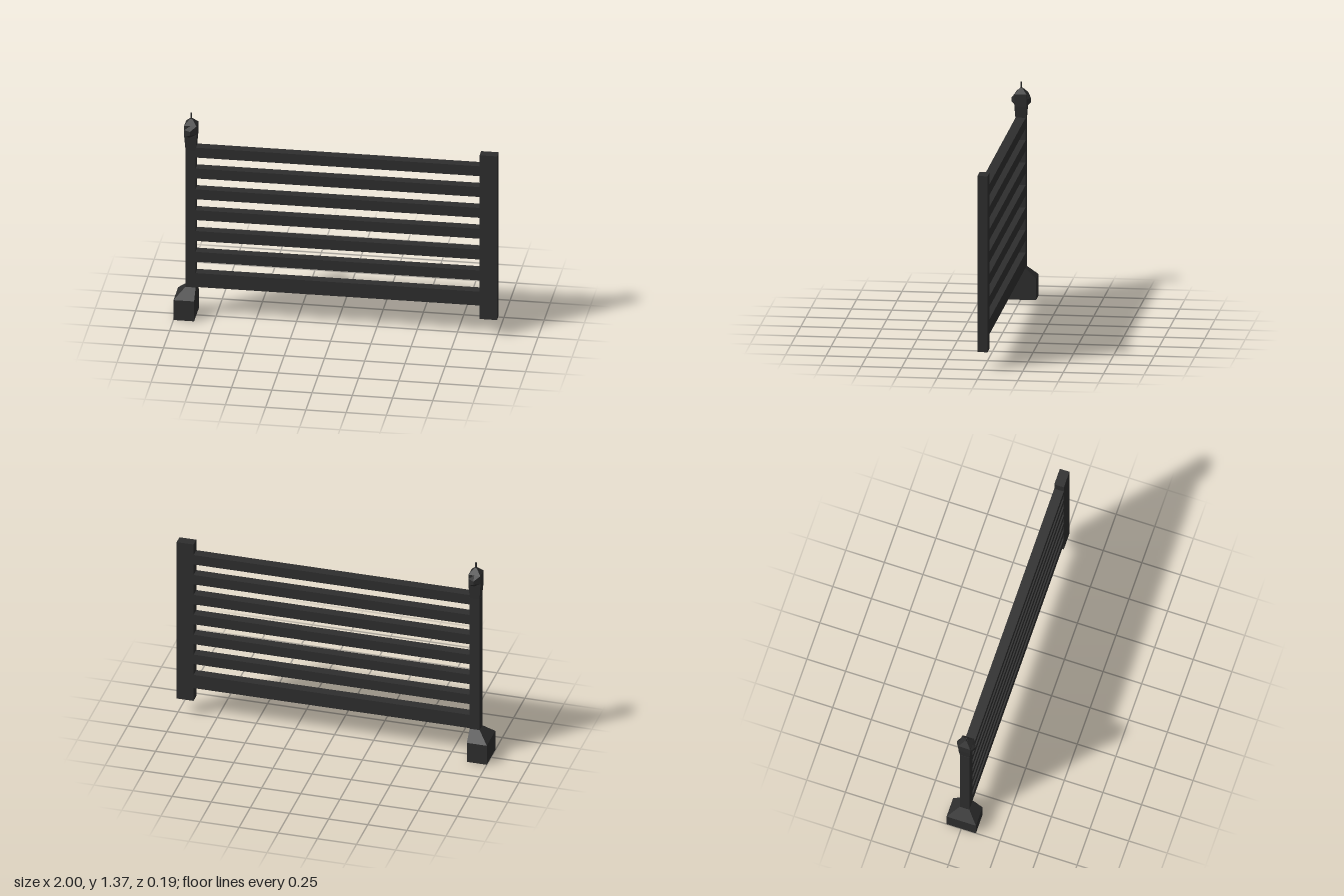
import * as THREE from 'three';

const iron = new THREE.MeshStandardMaterial({ color: 0x2e2e2e });
iron.name = 'dark iron';
iron.flatShading = true;

const DEPTH = 0.062;
const POST_X = -0.904;

// Closed solid through rings of [x, y, z] points, each listed front-left to front-right and round the back
function loft(rings) {
  const pos = [];
  const tri = (a, b, c) => pos.push(...a, ...b, ...c);
  const n = rings[0].length;
  for (let r = 0; r < rings.length - 1; r++) {
    for (let i = 0; i < n; i++) {
      const j = (i + 1) % n;
      const lo = rings[r], hi = rings[r + 1];
      tri(lo[i], lo[j], hi[j]);
      tri(lo[i], hi[j], hi[i]);
    }
  }
  const bottom = rings[0], top = rings[rings.length - 1];
  for (let i = 1; i < n - 1; i++) {
    tri(top[0], top[i], top[i + 1]);
    tri(bottom[0], bottom[i + 1], bottom[i]);
  }
  const g = new THREE.BufferGeometry();
  g.setAttribute('position', new THREE.Float32BufferAttribute(pos, 3));
  g.computeVertexNormals();
  return g;
}

const rect = (y, x0, x1, hz) => [[x0, y, hz], [x1, y, hz], [x1, y, -hz], [x0, y, -hz]];

// Six-sided ring: square corners plus a ridge in the middle of front and back
const ridged = (y, h, ridge) => [
  [POST_X - h, y, h], [POST_X, y, ridge], [POST_X + h, y, h],
  [POST_X + h, y, -h], [POST_X, y, -ridge], [POST_X - h, y, -h],
];

export function createModel() {
  const group = new THREE.Group();
  group.name = 'fenceGate';

  const add = (name, geometry) => {
    const mesh = new THREE.Mesh(geometry, iron);
    mesh.name = name;
    group.add(mesh);
  };
  const bar = (name, x0, x1, y0, y1) => {
    const g = new THREE.BoxGeometry(x1 - x0, y1 - y0, DEPTH);
    g.translate((x0 + x1) / 2, (y0 + y1) / 2, 0);
    add(name, g);
  };

  // Foot block, tapered on three sides and flush with the post on the fourth
  add('footBlock', loft([
    rect(0, -1, -0.872, 0.095),
    rect(0.135, -1, -0.872, 0.095),
    rect(0.2, -0.936, -0.872, DEPTH / 2),
  ]));

  // Posts
  bar('finialPost', -0.936, -0.872, 0.2, 1.13);
  bar('plainPost', 0.892, 1, 0.113, 1.224);

  // Horizontal rails, the bottom one deeper
  bar('bottomRail', -0.872, 0.892, 0.204, 0.298);
  for (let i = 0; i < 6; i++) {
    const y = 0.375 + i * 0.1415;
    bar('rail' + (i + 1), -0.872, 0.892, y, y + 0.067);
  }

  // Flared neck and faceted finial head
  add('finialHead', loft([
    ridged(1.13, 0.031, 0.031),
    ridged(1.22, 0.038, 0.038),
    ridged(1.243, 0.038, 0.061),
    ridged(1.267, 0.038, 0.061),
    ridged(1.297, 0.038, 0.038),
    ridged(1.332, 0.007, 0.007),
  ]));

  // Spike
  const spike = new THREE.CylinderGeometry(0.006, 0.006, 0.05, 8);
  spike.translate(POST_X, 1.343, 0);
  add('finialSpike', spike);

  return group;
}
